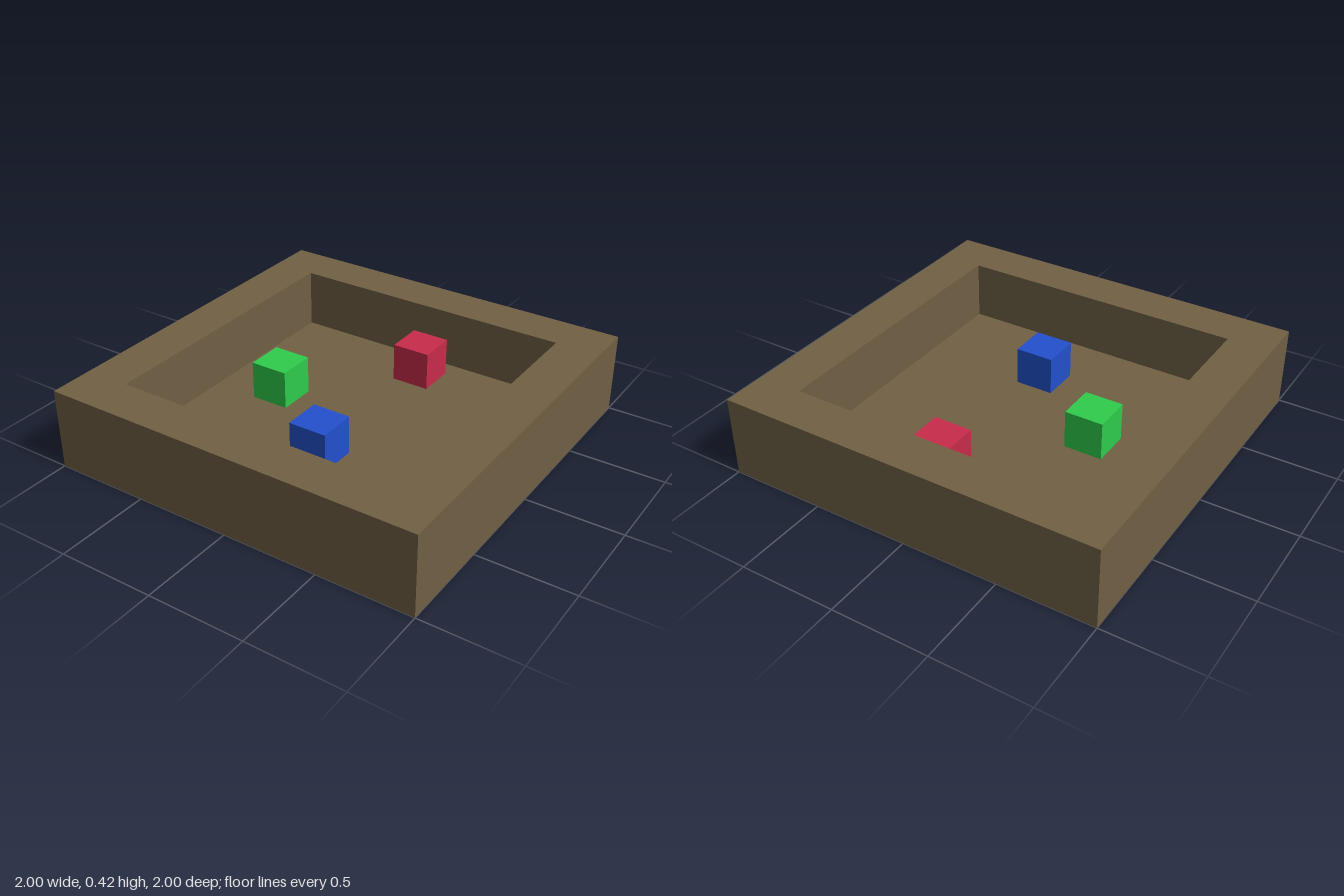
import * as THREE from 'three';

const HEIGHT = 0.424, FLOOR = 0.11, INNER = 0.763, CUBE = 0.203;

// Square outline with the given half width
function square(Type, h) {
  const s = new Type();
  s.moveTo(-h, -h);
  s.lineTo(h, -h);
  s.lineTo(h, h);
  s.lineTo(-h, h);
  s.closePath();
  return s;
}

// Flat slab lying on the ground plane, lifted to y
function slab(name, shape, y, depth, material) {
  const geometry = new THREE.ExtrudeGeometry(shape, { depth, bevelEnabled: false });
  geometry.rotateX(-Math.PI / 2);
  const mesh = new THREE.Mesh(geometry, material);
  mesh.name = name;
  mesh.position.y = y;
  return mesh;
}

export function createModel() {
  const group = new THREE.Group();
  group.name = 'trayWithCubes';
  const brown = new THREE.MeshStandardMaterial({ color: 0x706044 });

  // Thick square rim, one piece from ground to top
  const rim = square(THREE.Shape, 1);
  rim.holes.push(square(THREE.Path, INNER));
  group.add(slab('trayRim', rim, 0, HEIGHT, brown));

  // Recessed floor filling the rim
  group.add(slab('trayFloor', square(THREE.Shape, INNER), 0, FLOOR, brown));

  // Coloured cubes resting on the floor
  const cubes = [
    ['redCube', 0xc82c4a, 0.085, -0.568],
    ['greenCube', 0x2ecc4a, -0.416, 0],
    ['blueCube', 0x2250cc, 0.085, 0.367],
  ];
  const cubeGeometry = new THREE.BoxGeometry(CUBE, CUBE, CUBE);
  for (const [name, color, x, z] of cubes) {
    const cube = new THREE.Mesh(cubeGeometry, new THREE.MeshStandardMaterial({ color }));
    cube.name = name;
    cube.position.set(x, FLOOR + CUBE / 2, z);
    group.add(cube);
  }
  return group;
}
